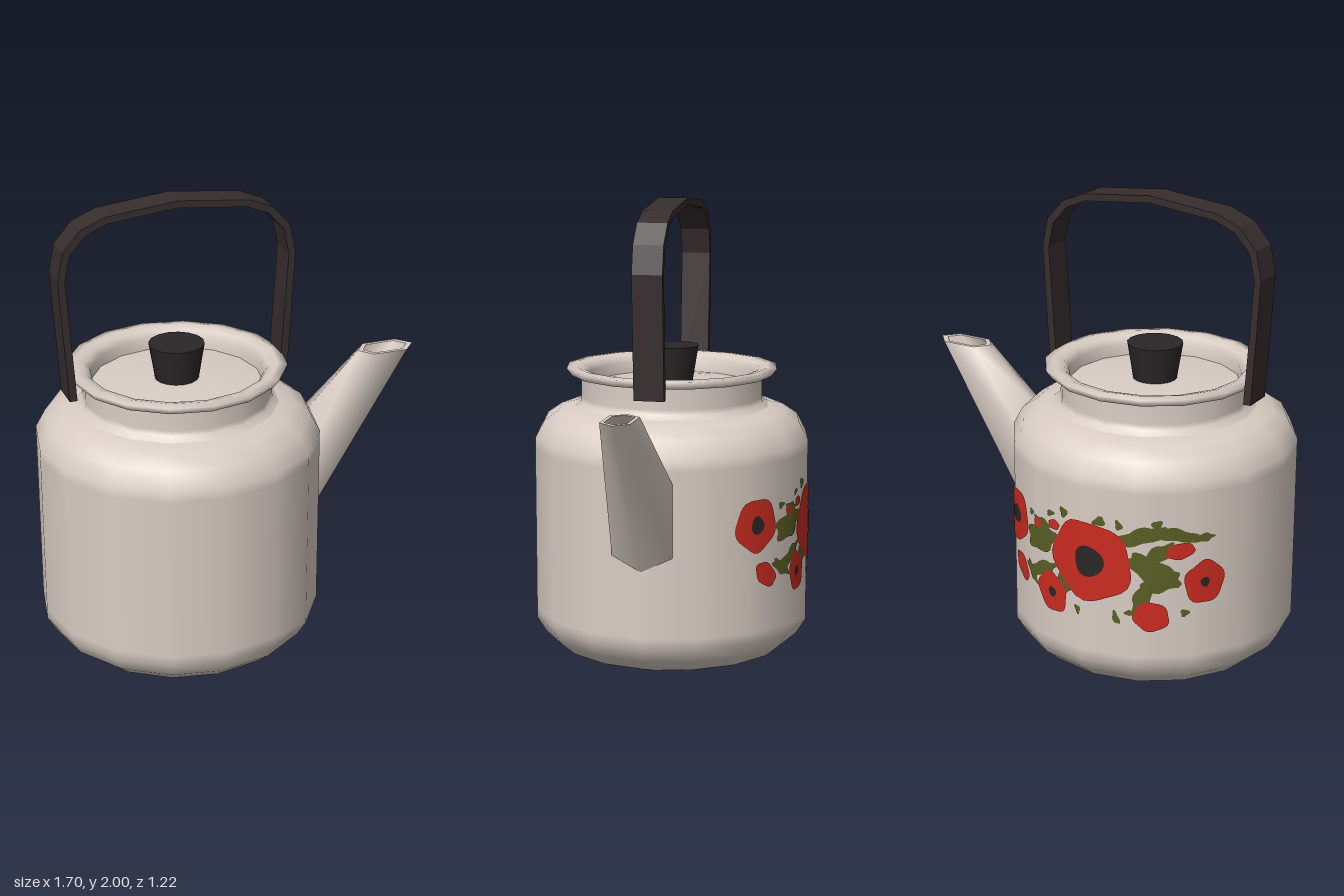
import * as THREE from 'three';

const SIDES = 16, R = 0.605, CX = -0.245;
const mat = (name, color) => Object.assign(new THREE.MeshStandardMaterial({ color }), { name });

// Lathe from [radius, height] pairs
const lathe = (pts) => new THREE.LatheGeometry(pts.map(([r, y]) => new THREE.Vector2(r, y)), SIDES);

// Closed-loop strip between two rings of points
function strip(a, b) {
  const n = a.length, index = [];
  for (let i = 0; i < n; i++) {
    const j = (i + 1) % n;
    index.push(i, n + i, n + j, i, n + j, j);
  }
  const g = new THREE.BufferGeometry();
  g.setAttribute('position', new THREE.Float32BufferAttribute([...a, ...b].flat(), 3));
  g.setIndex(index);
  g.computeVertexNormals();
  return g;
}

// Painted patch wrapped on the faceted wall. deg runs from the back (-z) toward +x;
// the outline is an ellipse whose edge is waved by a number of lobes.
function patch(deg, y0, rx, ry, rot = 0, lobes = 0, wave = 0, lift = 0.004) {
  const rings = 6, segs = 32, pos = [], nor = [], index = [];
  const step = Math.PI * 2 / SIDES, psi0 = THREE.MathUtils.degToRad(deg);
  const tilt = THREE.MathUtils.degToRad(rot);
  for (let k = 0; k <= rings; k++) {
    for (let s = 0; s < segs; s++) {
      const a = s / segs * Math.PI * 2;
      const f = k / rings * (1 + wave * Math.sin(lobes * a + deg));
      const u = rx * f * Math.cos(a), v = ry * f * Math.sin(a);
      const psi = psi0 - (u * Math.cos(tilt) - v * Math.sin(tilt)) / R;
      const y = y0 + u * Math.sin(tilt) + v * Math.cos(tilt);
      const local = psi - Math.floor(psi / step) * step - step / 2;
      const r = R * Math.cos(step / 2) / Math.cos(local) + lift;
      pos.push(r * Math.sin(psi), y, -r * Math.cos(psi));
      nor.push(Math.sin(psi), 0, -Math.cos(psi));
      if (k < rings) {
        const t = (s + 1) % segs, p = k * segs, q = p + segs;
        index.push(p + s, q + s, q + t, p + s, q + t, p + t);
      }
    }
  }
  const g = new THREE.BufferGeometry();
  g.setAttribute('position', new THREE.Float32BufferAttribute(pos, 3));
  g.setAttribute('normal', new THREE.Float32BufferAttribute(nor, 3));
  g.setIndex(index);
  return g;
}

export function createModel() {
  const model = new THREE.Group();
  model.name = 'kettle';
  const enamel = mat('cream enamel', 0xd9cdc4);
  const dark = mat('dark brown handle', 0x372d2d);
  const black = mat('black knob', 0x2b2627);
  const red = mat('poppy red', 0xcb2b20);
  const green = mat('leaf green', 0x5a5e24);

  const add = (name, geometry, material, parent = model) => {
    const m = new THREE.Mesh(geometry, material);
    m.name = name;
    parent.add(m);
    return m;
  };

  const pot = new THREE.Group();
  pot.name = 'pot';
  pot.position.x = CX;
  model.add(pot);

  // Body with rounded shoulder and base
  add('body', lathe([[0, 0.003], [0.36, 0.003], [0.42, 0.006], [0.5, 0.035], [0.565, 0.09], [R, 0.155],
    [R, 0.2], [R, 0.92], [R, 0.965], [0.565, 1.04], [0.5, 1.085], [0.43, 1.1]]), enamel, pot);
  add('neck', lathe([[0.43, 1.1], [0.405, 1.12], [0.4, 1.14], [0.4, 1.235]]), enamel, pot);
  // Flared rim turning down into the lid recess
  add('rim', lathe([[0.4, 1.232], [0.44, 1.235], [0.465, 1.268], [0.425, 1.273],
    [0.385, 1.262], [0.365, 1.235], [0.362, 1.18]]), enamel, pot);
  add('lid', lathe([[0.364, 1.185], [0.25, 1.197], [0.12, 1.205], [0, 1.208]]), enamel, pot);
  add('knob', new THREE.CylinderGeometry(0.118, 0.092, 0.16, SIDES), black, pot).position.y = 1.28;

  // Handle: flat strip bent into an arch, mirrored half profiles
  const outer = [[0.48, 1.19], [0.512, 1.72], [0.487, 1.84], [0.412, 1.925], [0.307, 1.968], [0, 2]];
  const inner = [[0.447, 1.19], [0.482, 1.715], [0.458, 1.825], [0.39, 1.9], [0.3, 1.938], [0, 1.97]];
  const arch = (half) => [...half, ...half.slice(0, -1).reverse().map(([x, y]) => [-x, y])];
  const outline = [...arch(outer), ...arch(inner).reverse()].map(([x, y]) => new THREE.Vector2(x, y));
  add('handle', new THREE.ExtrudeGeometry(new THREE.Shape(outline), { depth: 0.13, bevelEnabled: false }), dark)
    .position.set(-0.25, 0, -0.07);

  // Spout: hollow six-sided tube, cut level at the tip
  const hexagon = (low, lowSide, highSide, high) => {
    const side = ([x, y, z], s) => [x, y, z * s];
    return [low, side(lowSide, 1), side(highSide, 1), high, side(highSide, -1), side(lowSide, -1)];
  };
  const base = hexagon([0.36, 0.49, 0], [0.334, 0.55, 0.13], [0.334, 0.865, 0.13], [0.36, 0.97, 0]);
  const tip = hexagon([0.845, 1.2, 0], [0.79, 1.2, 0.063], [0.635, 1.2, 0.063], [0.585, 1.2, 0]);
  const mouth = hexagon([0.815, 1.2, 0], [0.775, 1.2, 0.047], [0.645, 1.2, 0.047], [0.61, 1.2, 0]);
  const throat = hexagon([0.37, 0.56, 0], [0.34, 0.6, 0.1], [0.34, 0.82, 0.1], [0.37, 0.91, 0]);
  add('spout', strip(base, tip), enamel);
  add('spoutLip', strip(tip, mouth), enamel);
  add('spoutInside', strip(mouth, throat), enamel);

  // Painted poppies on the back
  const paint = new THREE.Group();
  paint.name = 'poppyPainting';
  pot.add(paint);

  // Leaves: angle, height, half width, half height, tilt
  [[21, 0.64, 0.1, 0.06, 20], [20, 0.5, 0.09, 0.03, 25], [27, 0.46, 0.06, 0.025, -35],
    [8, 0.47, 0.06, 0.04, 60], [20, 0.71, 0.05, 0.02, -10], [-25, 0.74, 0.1, 0.035, 15],
    [-38, 0.745, 0.09, 0.028, -8], [-49, 0.725, 0.05, 0.018, 0], [-29, 0.59, 0.12, 0.05, -30],
    [-33, 0.54, 0.08, 0.045, 10], [-26, 0.48, 0.09, 0.035, 65], [-31, 0.655, 0.08, 0.035, 35]]
    .forEach(([d, y, w, h, t]) => add('leaf', patch(d, y, w, h, t, 5, 0.16), green, paint));

  // Sprigs
  [[8, 0.79, 0.02, 0.022], [-8, 0.785, 0.028, 0.02], [-16, 0.78, 0.015, 0.022], [-31, 0.79, 0.022, 0.02],
    [-42, 0.4, 0.018, 0.016], [-15, 0.37, 0.014, 0.03], [-20, 0.4, 0.016, 0.012], [1, 0.38, 0.013, 0.02],
    [15, 0.765, 0.02, 0.012], [27, 0.73, 0.018, 0.014]]
    .forEach(([d, y, w, h]) => add('sprig', patch(d, y, w, h, 20, 3, 0.2), green, paint));

  // Petals: angle, height, half width, half height, tilt, heart radius
  [[-4, 0.605, 0.185, 0.172, -20, 0.062], [41, 0.665, 0.11, 0.115, 0, 0.036], [-50, 0.53, 0.088, 0.095, 0, 0.02],
    [14, 0.415, 0.075, 0.09, 25, 0.02], [-29, 0.385, 0.075, 0.065, -20, 0], [36, 0.445, 0.07, 0.045, -40, 0],
    [-40, 0.675, 0.06, 0.035, 15, 0], [13, 0.72, 0.03, 0.022, 0, 0], [22, 0.7, 0.024, 0.022, 0, 0]]
    .forEach(([d, y, w, h, t, heart]) => {
      add('poppy', patch(d, y, w, h, t, 5, 0.05, 0.006), red, paint);
      if (heart) add('poppyHeart', patch(d, y, heart, heart * 1.1, 20, 3, 0.06, 0.008), black, paint);
    });

  return model;
}
